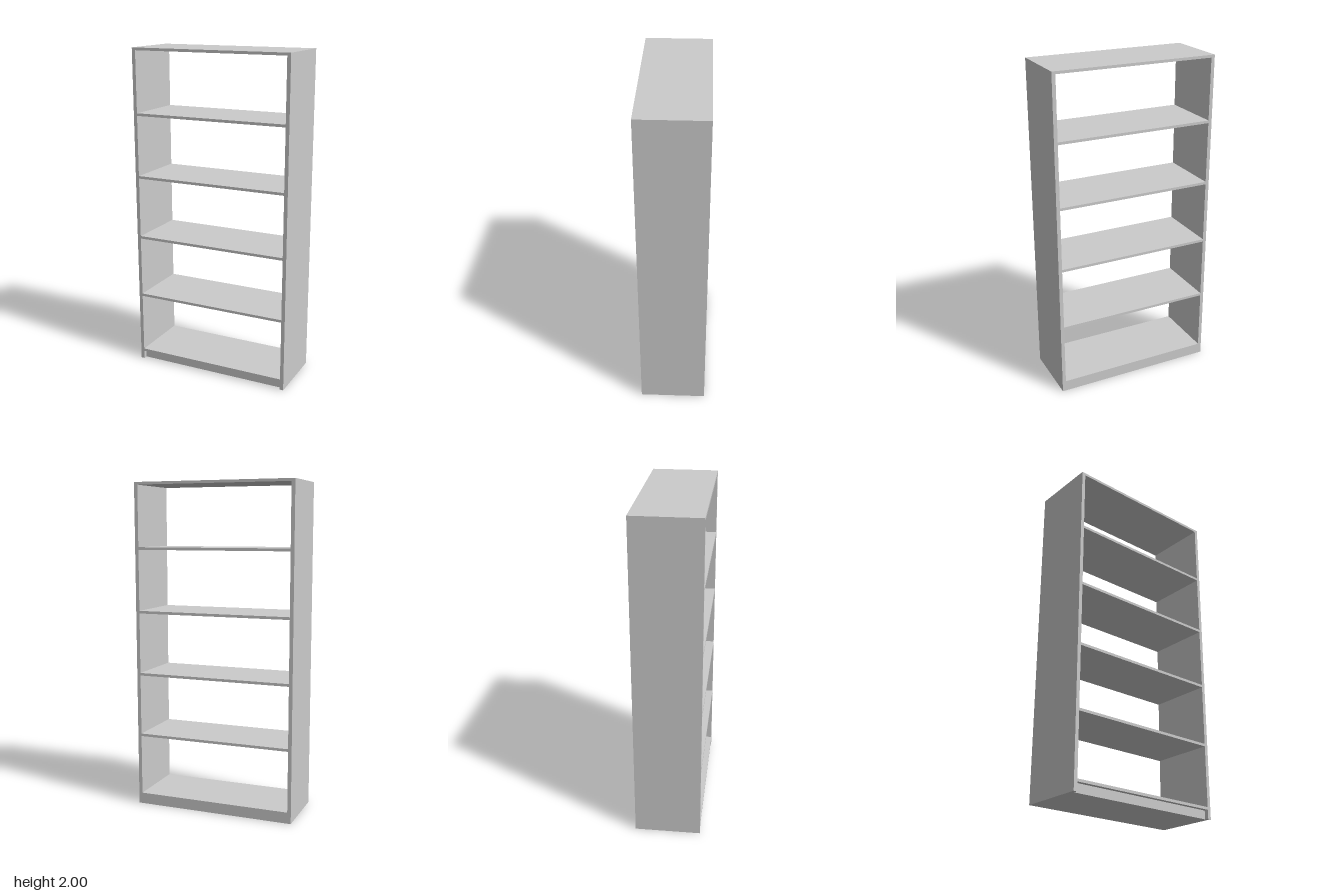
import * as THREE from 'three';

const WIDTH = 1, HEIGHT = 2, DEPTH = 0.4;
const SIDE = 0.022;          // side panel thickness
const BOARD = 0.016;         // shelf thickness
const KICK_HEIGHT = 0.052;
const KICK_RECESS = 0.025;
const BAYS = 5;

export function createModel() {
  const bookcase = new THREE.Group();
  bookcase.name = 'bookcase';
  const material = new THREE.MeshStandardMaterial({ color: 0xcccccc });

  function addBox(name, w, h, d, x, y, z) {
    const mesh = new THREE.Mesh(new THREE.BoxGeometry(w, h, d), material);
    mesh.name = name;
    mesh.position.set(x, y, z);
    bookcase.add(mesh);
  }

  // Full-height side panels
  for (const [name, s] of [['leftSide', 1], ['rightSide', -1]]) {
    addBox(name, SIDE, HEIGHT, DEPTH, s * (WIDTH - SIDE) / 2, HEIGHT / 2, 0);
  }

  // Evenly spaced boards: bottom, four shelves, top
  const innerWidth = WIDTH - 2 * SIDE;
  const lowest = KICK_HEIGHT + BOARD / 2;
  const spacing = (HEIGHT - BOARD / 2 - lowest) / BAYS;
  for (let i = 0; i <= BAYS; i++) {
    const name = i === 0 ? 'bottomBoard' : i === BAYS ? 'topBoard' : `shelf${i}`;
    addBox(name, innerWidth, BOARD, DEPTH, 0, lowest + i * spacing, 0);
  }

  // Solid plinth, flush at the back and recessed at the front
  addBox('plinth', innerWidth, KICK_HEIGHT, DEPTH - KICK_RECESS, 0, KICK_HEIGHT / 2, -KICK_RECESS / 2);

  return bookcase;
}
